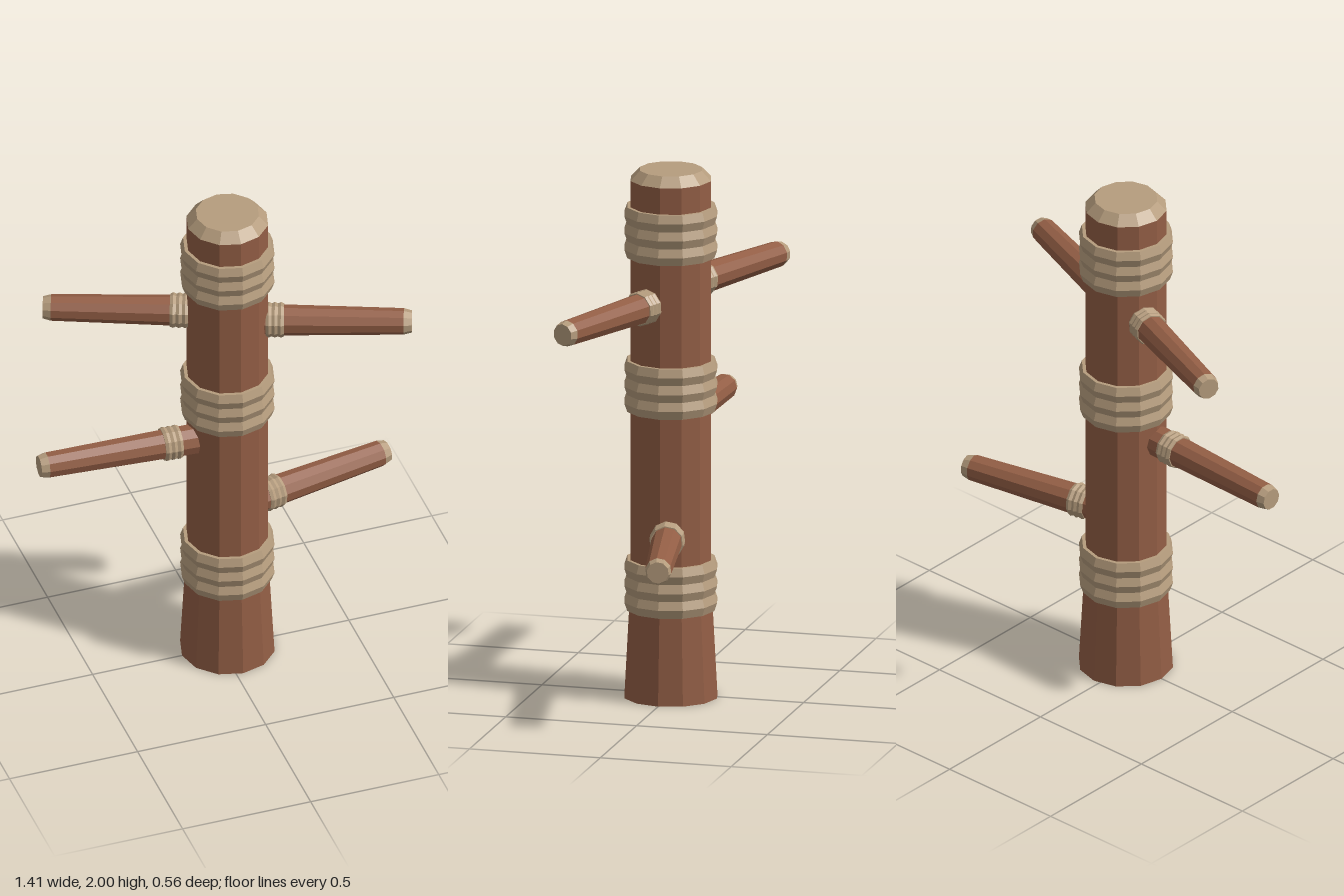
import * as THREE from 'three';

const wood = new THREE.MeshStandardMaterial({ color: 0x935e45, flatShading: true, side: THREE.DoubleSide });
wood.name = 'brown wood';
const pale = new THREE.MeshStandardMaterial({ color: 0xb59c7d, flatShading: true });
pale.name = 'pale rope and cut wood';

// Faceted solid of revolution; profile is [radius, y] from bottom to top
function turned(name, profile, sides, material) {
  const points = profile.map(([r, y]) => new THREE.Vector2(r, y));
  const mesh = new THREE.Mesh(new THREE.LatheGeometry(points, sides), material);
  mesh.name = name;
  return mesh;
}

// Three stacked coils of rope, centred on y = 0
function ropeWrap(name, inner, groove, ridge, height, sides) {
  const profile = [[inner, -height / 2]];
  const coils = 3;
  for (let i = 0; i <= coils * 2; i++) {
    profile.push([i % 2 ? ridge : groove, -height / 2 + (height * i) / (coils * 2)]);
  }
  profile.push([inner, height / 2]);
  return turned(name, profile, sides, pale);
}

// Tapered peg along +y with a pale chamfered end and a rope wrap near the post
function makePeg(name, length, wrapAt) {
  const peg = new THREE.Group();
  peg.name = name;
  const capStart = length - 0.03;
  peg.add(turned('pegShaft', [[0.06, 0.07], [0.049, capStart]], 10, wood));
  peg.add(turned('pegEnd', [[0.049, capStart], [0.041, length], [0, length]], 10, pale));
  const wrap = ropeWrap('pegRope', 0.05, 0.061, 0.066, 0.068, 10);
  wrap.position.y = wrapAt;
  peg.add(wrap);
  return peg;
}

export function createModel() {
  const model = new THREE.Group();
  model.name = 'pegPost';
  const centreX = 0.026;

  // Post, open underneath, flaring towards the foot
  const post = new THREE.Group();
  post.name = 'post';
  post.position.x = centreX;
  post.add(turned('trunk', [[0.177, 0], [0.153, 0.44], [0.153, 1.963]], 12, wood));
  post.add(turned('trunkTop', [[0.153, 1.963], [0.118, 2], [0, 2]], 12, pale));
  for (const y of [0.427, 1.183, 1.767]) {
    const wrap = ropeWrap('postRope', 0.14, 0.166, 0.177, 0.192, 12);
    wrap.position.y = y;
    post.add(wrap);
  }
  model.add(post);

  // Pegs: name, height, root z, tip x, tip z, distance of the wrap from the root
  const pegs = [
    ['upperRightPeg', 1.545, 0, -0.607, -0.248, 0.177],
    ['upperLeftPeg', 1.508, 0, 0.663, 0.238, 0.175],
    ['middleRightPeg', 1.003, 0.024, -0.705, -0.012, 0.226],
    ['lowerLeftPeg', 0.637, 0, 0.695, -0.135, 0.188],
  ];
  for (const [name, y, rootZ, tipX, tipZ, wrapAt] of pegs) {
    const root = new THREE.Vector3(centreX, y, rootZ);
    const along = new THREE.Vector3(tipX, y, tipZ).sub(root);
    const peg = makePeg(name, along.length(), wrapAt);
    peg.position.copy(root);
    peg.quaternion.setFromUnitVectors(new THREE.Vector3(0, 1, 0), along.normalize());
    model.add(peg);
  }
  return model;
}
